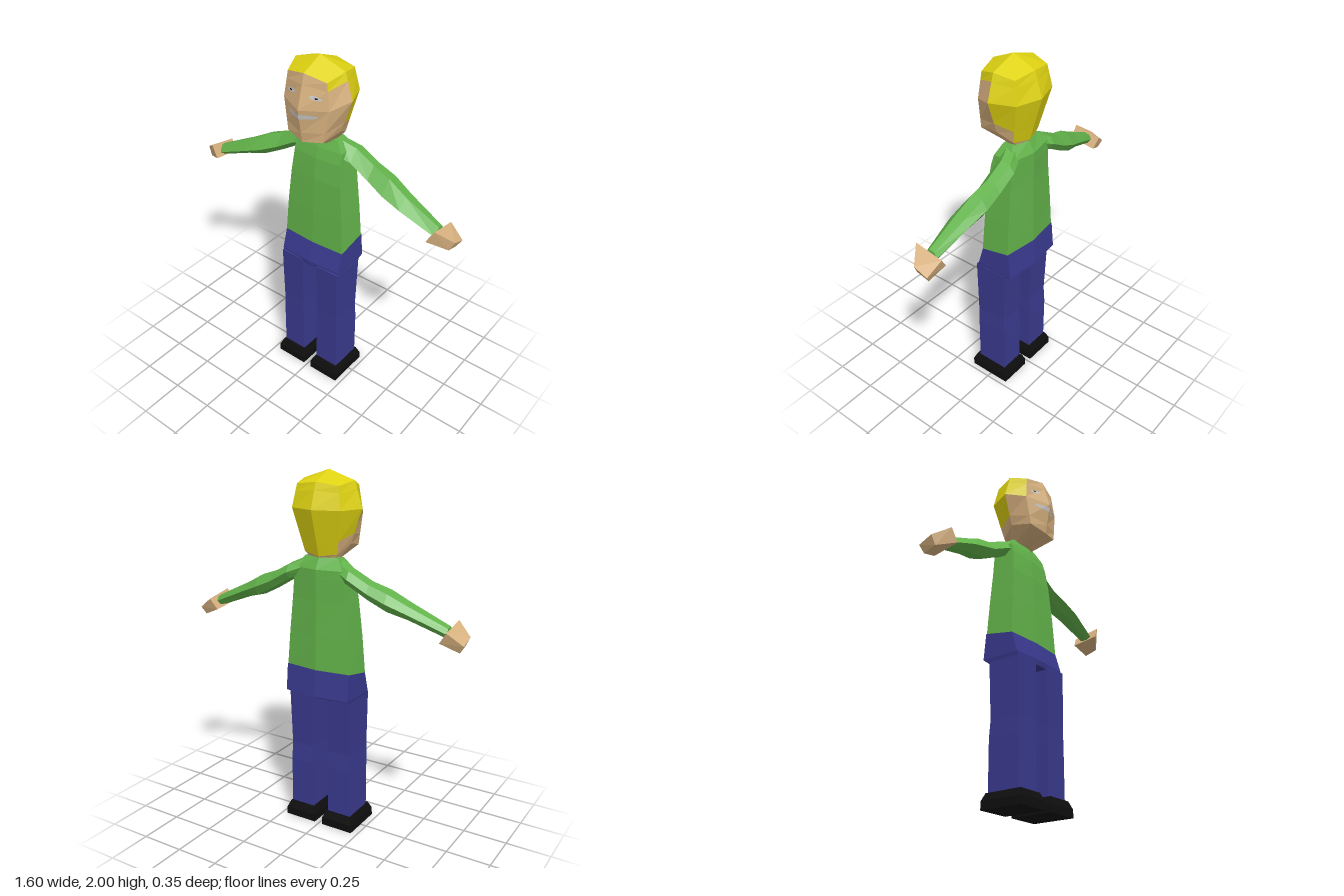
import * as THREE from 'three';

const mat = (name, color, side = THREE.FrontSide) => {
  const m = new THREE.MeshStandardMaterial({ color, flatShading: true, side });
  m.name = name;
  return m;
};

// Skin a stack of cross-sections; keep(row, column) picks the quads wanted.
function loft(rings, keep = () => true) {
  const tris = [];
  const n = rings[0].length;
  for (let r = 0; r < rings.length - 1; r++) {
    for (let j = 0; j < n; j++) {
      const k = (j + 1) % n, a = rings[r], b = rings[r + 1];
      tris.push([r, j, a[j], a[k], b[k]], [r, j, a[j], b[k], b[j]]);
    }
  }
  // flat end caps
  const last = rings.length - 1;
  for (let j = 1; j < n - 1; j++) {
    tris.push([-1, j, rings[0][0], rings[0][j + 1], rings[0][j]]);
    tris.push([last, j, rings[last][0], rings[last][j], rings[last][j + 1]]);
  }
  // face outwards whichever way the sections run
  const V = (p) => new THREE.Vector3(...p);
  let volume = 0;
  for (const [, , a, b, c] of tris) volume += V(a).dot(V(b).cross(V(c)));
  const pos = [];
  for (const [r, j, a, b, c] of tris) {
    if (keep(r, j)) pos.push(...a, ...(volume > 0 ? [...b, ...c] : [...c, ...b]));
  }
  const g = new THREE.BufferGeometry();
  g.setAttribute('position', new THREE.Float32BufferAttribute(pos, 3));
  g.computeVertexNormals();
  return g;
}

// Horizontal section mirrored in x: points run from centre front to centre back.
const mirrorRing = (half) => [...half, ...half.slice(1, -1).reverse().map(([x, y, z]) => [-x, y, z])];

// Rectangular section
const rectRing = (x, y, w, z0, z1) => [[x - w, y, z1], [x + w, y, z1], [x + w, y, z0], [x - w, y, z0]];

export function createModel() {
  const model = new THREE.Group();
  model.name = 'figure';
  const skin = mat('skin', 0xd6b07e);
  const hair = mat('hair yellow', 0xded212);
  const green = mat('sweater green', 0x62b24a);
  const blue = mat('trouser blue', 0x39398e);
  const black = mat('shoe black', 0x0e0e0e);
  const grey = mat('eye and mouth grey', 0xc6c6c8, THREE.DoubleSide);

  const add = (name, geometry, material, parent = model) => {
    const m = new THREE.Mesh(geometry, material);
    m.name = name;
    parent.add(m);
    return m;
  };

  // Head: eight-sided rings from neck to crown
  const neck = mirrorRing([[0, 1.54, 0.03], [0.05, 1.54, 0.02], [0.07, 1.54, -0.03], [0.05, 1.54, -0.08], [0, 1.54, -0.09]]);
  const jaw = mirrorRing([[0, 1.585, 0.145], [0.11, 1.605, 0.12], [0.135, 1.63, 0], [0.1, 1.58, -0.08], [0, 1.565, -0.105]]);
  const cheek = mirrorRing([[0, 1.77, 0.175], [0.14, 1.78, 0.11], [0.197, 1.81, 0], [0.145, 1.81, -0.13], [0, 1.81, -0.175]]);
  const brow = mirrorRing([[0, 1.945, 0.125], [0.12, 1.92, 0.1], [0.153, 1.95, 0], [0.125, 1.93, -0.11], [0, 1.945, -0.13]]);
  const crown = mirrorRing(Array(5).fill([0, 2, 0]));
  const blend = (a, b, t) => a.map((p, i) => p.map((v, k) => v + (b[i][k] - v) * t));
  const headRings = [neck, jaw, blend(jaw, cheek, 0.3), cheek, blend(cheek, brow, 0.7), brow, crown];
  // first and last hair-covered column of each row
  const hairSpan = [null, [3, 4], [2, 5], [2, 6], [1, 6], [0, 7], [0, 7]];
  const isHair = (r, j) => r > 0 && j >= hairSpan[r][0] && j <= hairSpan[r][1];
  const head = new THREE.Group();
  head.name = 'head';
  model.add(head);
  const face = add('face', loft(headRings, (r, j) => !isHair(r, j)), skin, head);
  add('hair', loft(headRings, isHair), hair, head);

  // Facial details: thin sheets laid on the face
  const ray = new THREE.Raycaster();
  const decal = (name, x, y, w, h, material, bend, lift) => {
    const g = new THREE.PlaneGeometry(w, h, 8, 2);
    const p = g.attributes.position;
    for (let i = 0; i < p.count; i++) {
      const u = p.getX(i) / (w / 2);
      const px = x + p.getX(i);
      const py = y + p.getY(i) * (1 - 0.6 * u * u) + bend(u);
      ray.set(new THREE.Vector3(px, py, 1), new THREE.Vector3(0, 0, -1));
      const hit = ray.intersectObject(face)[0];
      p.setXYZ(i, px, py, (hit ? hit.point.z : 0.13) + lift);
    }
    g.computeVertexNormals();
    add(name, g, material, head);
  };
  face.updateMatrixWorld();
  for (const s of [-1, 1]) {
    decal(s > 0 ? 'leftEye' : 'rightEye', s * 0.075, 1.84, 0.06, 0.02, grey, (u) => -s * u * 0.005, 0.003);
    decal(s > 0 ? 'leftPupil' : 'rightPupil', s * 0.08, 1.84, 0.016, 0.008, black, () => 0, 0.005);
  }
  decal('mouth', 0, 1.735, 0.175, 0.026, grey, (u) => 0.007 * u * u, 0.003);

  // Sweater body: [half width, front y, back y, front z, back z]
  const torso = [
    [0.195, 0.915, 0.95, 0.07, -0.14],
    [0.18, 1.13, 1.14, 0.062, -0.137],
    [0.162, 1.32, 1.33, 0.052, -0.133],
    [0.15, 1.44, 1.45, 0.038, -0.135],
    [0.145, 1.5, 1.5, 0.022, -0.135],
    [0.1, 1.555, 1.56, 0, -0.1],
  ].map(([w, yf, yb, zf, zb]) => mirrorRing([[0, yf, zf], [w, yf, zf - 0.012], [w, yb, zb + 0.025], [0, yb, zb]]));
  add('sweaterBody', loft(torso), green);

  // Trouser seat
  const seat = [
    [0.19, 0.77, 0.775, 0.1, -0.105],
    [0.195, 0.8, 0.8, 0.104, -0.155],
    [0.195, 0.915, 0.95, 0.07, -0.14],
  ].map(([w, yf, yb, zf, zb]) => mirrorRing([[0, yf, zf], [w, yf, zf - 0.012], [w, yb, zb + 0.02], [0, yb, zb]]));
  add('trouserSeat', loft(seat), blue);

  // Arm sections: [x, top y, bottom y, back z, front z]
  const armSections = [
    [0.09, 1.555, 1.45, -0.11, 0.01],
    [0.18, 1.515, 1.42, -0.148, -0.015],
    [0.29, 1.455, 1.355, -0.148, -0.015],
    [0.39, 1.42, 1.305, -0.15, 0],
    [0.5, 1.36, 1.275, -0.132, 0.003],
    [0.7, 1.265, 1.2, -0.1, -0.018],
  ];
  // Hand sections: inner and outer edges as [top x, top y, bottom x, bottom y, back z, front z]
  const handSections = [
    [0.715, 1.268, 0.675, 1.2, -0.145, 0.028],
    [0.8, 1.205, 0.775, 1.157, -0.125, -0.035],
  ];

  for (const s of [-1, 1]) {
    const side = s > 0 ? 'left' : 'right';
    // the right arm reaches slightly further forward
    const place = ([x, y, z]) => [s * x, y, z + (s < 0 ? 0.1 * x : 0)];

    add(side + 'Sleeve', loft(armSections.map(([x, t, b, zb, zf]) => {
      const d = zf - zb, h = t - b;
      return [
        [x, t - 0.1 * h, zb + 0.2 * d], [x, t, zf - 0.4 * d], [x, b + 0.35 * h, zf],
        [x, b, zf - 0.3 * d], [x, b + 0.1 * h, zb + 0.2 * d], [x, b + 0.5 * h, zb],
      ].map(place);
    })), green);

    add(side + 'Hand', loft(handSections.map(([tx, ty, bx, by, zb, zf]) => [
      [tx, ty - 0.015, zb], [tx, ty + 0.015, zf - 0.01], [bx, by + 0.012, zf], [bx, by - 0.008, zb + 0.015],
    ].map(place))), skin);

    // Leg with a slight bend at the knee
    const lx = s * 0.121 + 0.003;
    add(side + 'Leg', loft([
      rectRing(lx, 0.07, 0.073, -0.088, 0.1),
      rectRing(lx, 0.36, 0.072, -0.09, 0.1),
      rectRing(lx, 0.46, 0.07, -0.083, 0.1),
      rectRing(lx, 0.79, 0.073, -0.097, 0.104),
    ]), blue);

    // Shoe with a bevelled top
    const sx = s * 0.121 + 0.003;
    add(side + 'Shoe', loft([
      rectRing(sx, 0, 0.096, -0.115, 0.135),
      rectRing(sx, 0.045, 0.095, -0.115, 0.135),
      rectRing(sx, 0.085, 0.077, -0.1, 0.118),
    ]), black);
  }
  return model;
}
